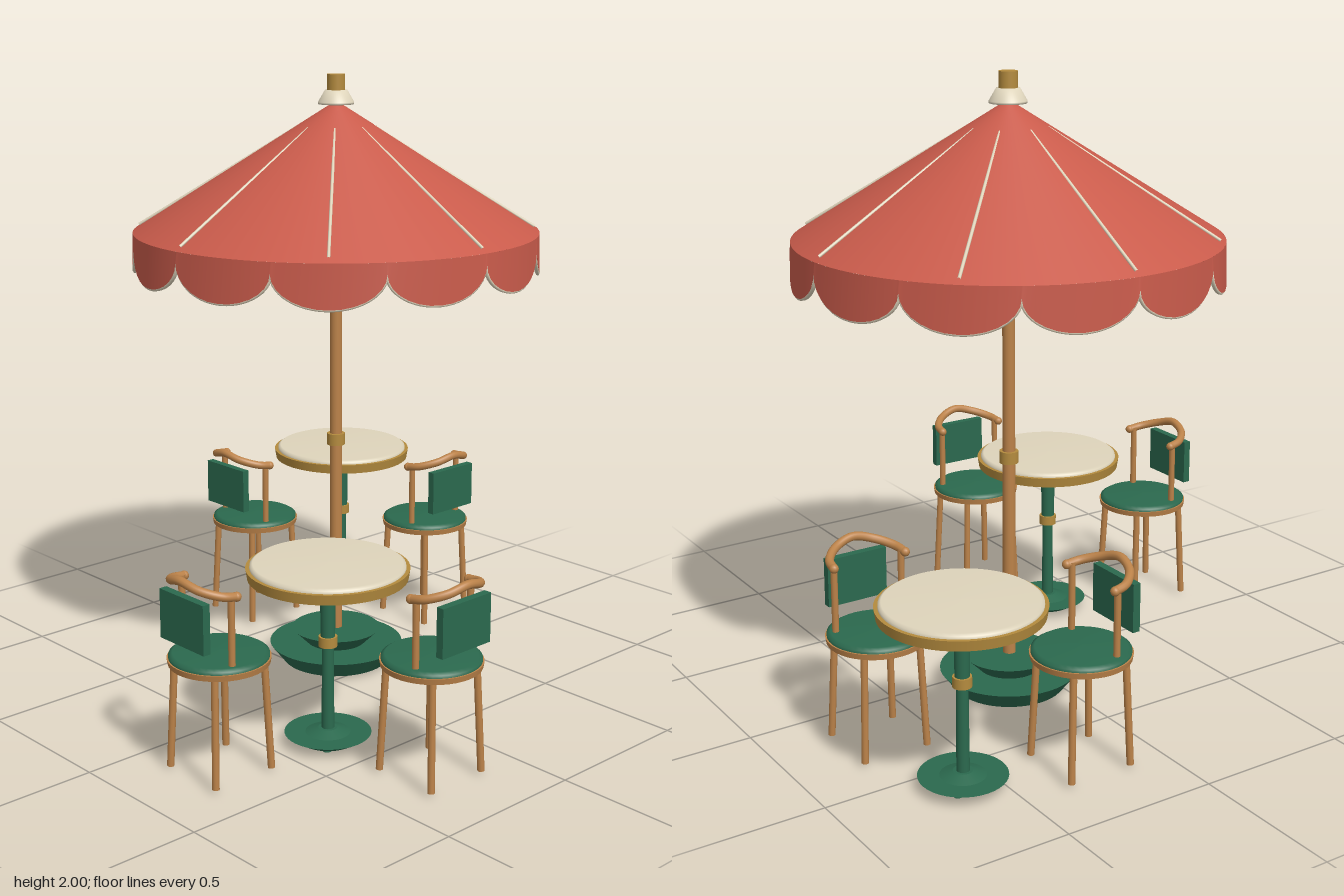
import * as THREE from 'three';

const paint = (name, color, side = THREE.FrontSide) => {
  const m = new THREE.MeshStandardMaterial({ color, side });
  m.name = name;
  return m;
};

export function createModel() {
  const red = paint('red canvas', 0xc95b4b, THREE.DoubleSide);
  const green = paint('green enamel', 0x2b694e);
  const wood = paint('warm wood', 0xbb8249);
  const brass = paint('brass', 0xb48b3e);
  const cream = paint('cream', 0xded4bb);

  const model = new THREE.Group();
  model.name = 'terraceSet';

  const add = (parent, name, geo, mat, x = 0, y = 0, z = 0) => {
    const mesh = new THREE.Mesh(geo, mat);
    mesh.name = name;
    mesh.position.set(x, y, z);
    parent.add(mesh);
    return mesh;
  };
  // Cylinder given by its radii and its lower and upper heights
  const post = (parent, name, mat, rTop, rBottom, y0, y1, x = 0, z = 0, sides = 32) =>
    add(parent, name, new THREE.CylinderGeometry(rTop, rBottom, y1 - y0, sides), mat, x, (y0 + y1) / 2, z);
  // Profile points run from bottom to top
  const turned = (parent, name, mat, pts, sides = 48) =>
    add(parent, name, new THREE.LatheGeometry(pts.map(p => new THREE.Vector2(...p)), sides), mat);
  // Straight round bar between two points
  const bar = (parent, name, mat, a, b, r) =>
    add(parent, name, new THREE.TubeGeometry(new THREE.LineCurve3(a, b), 1, r, 10), mat);
  const V = (x, y, z) => new THREE.Vector3(x, y, z);

  function umbrella() {
    const g = new THREE.Group();
    g.name = 'umbrella';
    const R = 0.66, EAVE = 1.5, APEX = 1.91;

    // Two-tier weighted foot
    post(g, 'footLower', green, 0.227, 0.18, 0.01, 0.07, 0, 0, 48);
    post(g, 'footUpper', green, 0.15, 0.1, 0.07, 0.12, 0, 0, 48);

    post(g, 'pole', wood, 0.019, 0.021, 0.1, 1.92, 0, 0, 20);
    post(g, 'poleCollar', brass, 0.03, 0.03, 0.773, 0.812);

    // Conical canopy
    add(g, 'canopy', new THREE.CylinderGeometry(0.01, R, APEX - EAVE, 96, 1, true),
      red, 0, (EAVE + APEX) / 2, 0);

    // Scalloped valance: twelve rounded tongues round the eave
    const scallops = 12, steps = 14, n = scallops * steps;
    const pos = [], idx = [], hem = [];
    for (let i = 0; i < n; i++) {
      const t = -Math.cos(((i % steps) / steps) * Math.PI);
      const a = (Math.floor(i / steps) + (t + 1) / 2) * (Math.PI * 2 / scallops);
      const y = EAVE - 0.035 - 0.103 * Math.sqrt(1 - t * t);
      const s = Math.sin(a), c = Math.cos(a);
      pos.push(R * s, EAVE, R * c, (R + 0.004) * s, y, (R + 0.004) * c);
      hem.push(V((R - 0.003) * s, y, (R - 0.003) * c));
      const p = i * 2, q = ((i + 1) % n) * 2;
      idx.push(p, p + 1, q, q, p + 1, q + 1);
    }
    const valance = new THREE.BufferGeometry();
    valance.setAttribute('position', new THREE.Float32BufferAttribute(pos, 3));
    valance.setIndex(idx);
    valance.computeVertexNormals();
    add(g, 'valance', valance, red);
    add(g, 'valancePiping', new THREE.TubeGeometry(
      new THREE.CatmullRomCurve3(hem, true), n * 2, 0.0065, 6, true), cream);

    // Eight seams that rise out of the cloth towards the eave
    const onCloth = (r, a, lift) => V(r * Math.sin(a),
      APEX - (APEX - EAVE) * r / R + lift, r * Math.cos(a));
    for (let i = 0; i < 8; i++) {
      const a = i * Math.PI / 4;
      bar(g, 'seam', cream, onCloth(0.12, a, 0), onCloth(0.645, a, 0.004), 0.005);
    }

    // Finial
    turned(g, 'finialCap', cream, [[0, 1.905], [0.058, 1.905], [0.058, 1.912], [0.036, 1.95], [0, 1.95]]);
    post(g, 'finialKnob', brass, 0.029, 0.029, 1.95, 2.0);
    return g;
  }

  function table() {
    const g = new THREE.Group();
    g.name = 'table';
    post(g, 'foot', green, 0.135, 0.09, 0.01, 0.036, 0, 0, 40);
    post(g, 'footHub', green, 0.03, 0.07, 0.036, 0.05);
    for (let i = 0; i < 4; i++) {
      const a = Math.PI / 4 + i * Math.PI / 2;
      post(g, 'glide', green, 0.014, 0.014, 0, 0.012, 0.065 * Math.sin(a), 0.065 * Math.cos(a), 12);
    }
    post(g, 'columnLower', green, 0.018, 0.02, 0.04, 0.33);
    post(g, 'columnUpper', green, 0.025, 0.022, 0.34, 0.545);
    post(g, 'columnCollar', brass, 0.029, 0.029, 0.318, 0.35);
    post(g, 'topRim', brass, 0.25, 0.245, 0.542, 0.574, 0, 0, 64);
    turned(g, 'tabletop', cream, [[0.238, 0.573], [0.237, 0.582], [0.228, 0.588], [0, 0.59]], 64);
    return g;
  }

  // The backrest lies on +z
  function chair() {
    const g = new THREE.Group();
    g.name = 'chair';
    post(g, 'seatRing', wood, 0.155, 0.152, 0.347, 0.365, 0, 0, 40);
    turned(g, 'seatCushion', green, [[0.15, 0.363], [0.15, 0.374], [0.138, 0.381], [0, 0.385]], 40);
    for (const sx of [-1, 1]) {
      for (const sz of [-1, 1])
        bar(g, 'leg', wood, V(sx * 0.107, 0.01, sz * 0.107), V(sx * 0.094, 0.352, sz * 0.094), 0.011);
      bar(g, 'backPost', wood, V(sx * 0.114, 0.36, 0.045), V(sx * 0.114, 0.597, 0.045), 0.0105);
      add(g, 'railEnd', new THREE.SphereGeometry(0.0145, 14, 10), wood, sx * 0.121, 0.59, 0.03);
    }
    // Curved top rail, highest at the back
    const half = [[0.121, 0.59, 0.03], [0.112, 0.598, 0.075], [0.066, 0.615, 0.122]];
    const rail = [
      ...half.map(([x, y, z]) => V(-x, y, z)),
      V(0, 0.631, 0.137),
      ...half.reverse().map(([x, y, z]) => V(x, y, z)),
    ];
    add(g, 'topRail', new THREE.TubeGeometry(new THREE.CatmullRomCurve3(rail), 40, 0.0135, 12), wood);
    add(g, 'backPanel', new THREE.BoxGeometry(0.2, 0.152, 0.025), green, 0, 0.507, 0.125);
    return g;
  }

  const place = (part, x, z, turn = 0) => {
    part.position.set(x, 0, z);
    part.rotation.y = turn;
    model.add(part);
  };

  place(umbrella(), 0.134, -0.136);
  // Two tables, each with a chair on its -x and +z sides
  for (const [x, z] of [[-0.335, 0.33], [0.603, -0.608]]) {
    place(table(), x, z);
    place(chair(), x - 0.364, z - 0.078, -Math.PI / 2);
    place(chair(), x + 0.078, z + 0.364);
  }
  return model;
}
